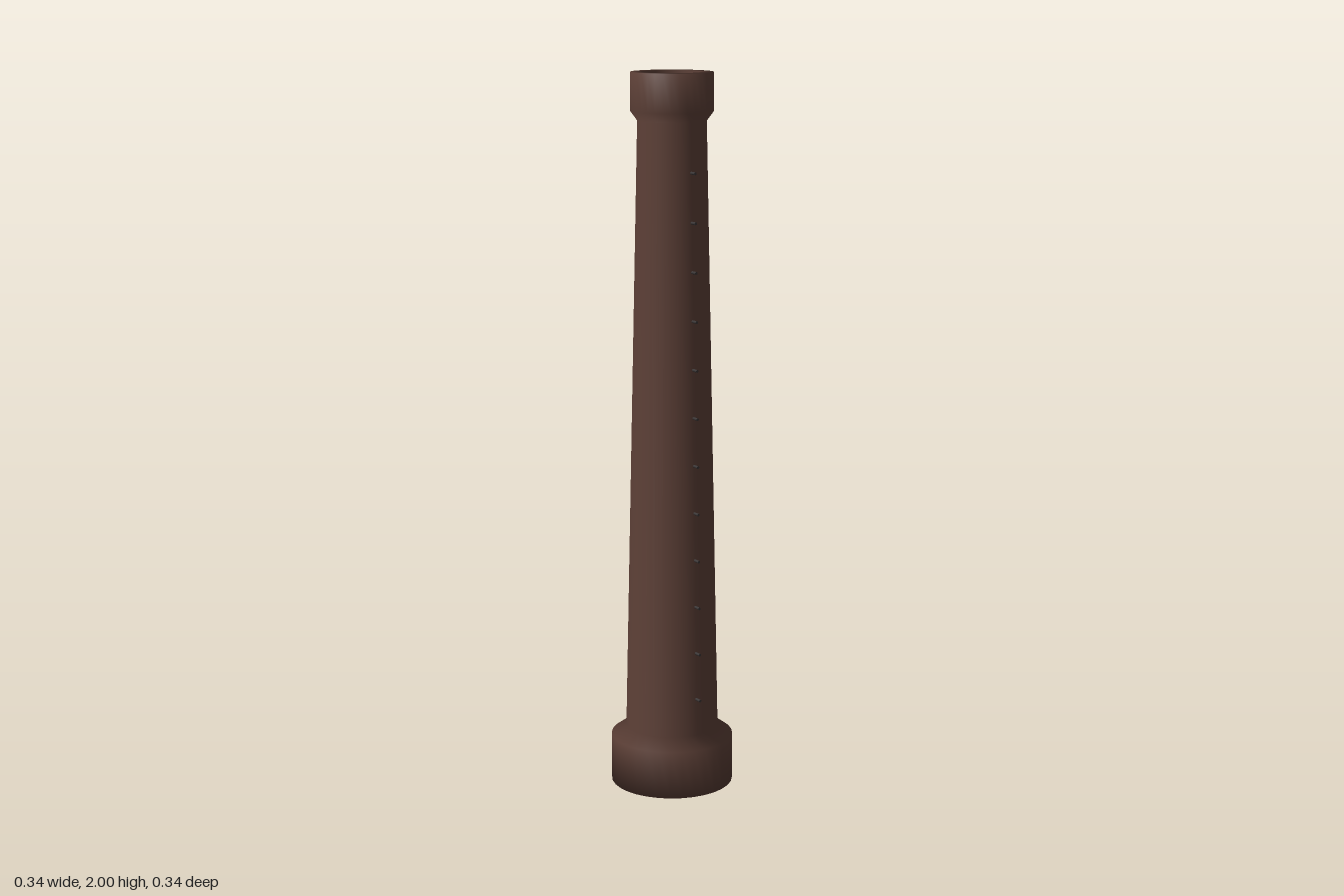
import * as THREE from 'three';

export function createModel() {
  const group = new THREE.Group();
  const brown = new THREE.MeshStandardMaterial({ color: 0x5d4037 });
  brown.name = 'brown';
  const darkGrey = new THREE.MeshStandardMaterial({ color: 0x3a3636 });
  darkGrey.name = 'dark grey';

  // Hollow tapered stack: closed base, shoulder, shaft, flared rim, inner flue
  const footY = 0.165, footR = 0.13, neckY = 1.87, neckR = 0.094;
  const profile = [
    [0, 0], [0.172, 0], [0.172, 0.135], [footR, footY], [neckR, neckY],
    [0.1125, 1.895], [0.1125, 2], [0.08, 2], [0.08, 0.1], [0, 0.1],
  ].map(([r, y]) => new THREE.Vector2(r, y));
  const stack = new THREE.Mesh(new THREE.LatheGeometry(profile, 32), brown);
  stack.name = 'chimneyStack';
  group.add(stack);

  // Row of short rungs passing through the front wall, following the taper
  const rungs = new THREE.Group();
  rungs.name = 'rungs';
  const rungGeometry = new THREE.CylinderGeometry(0.004, 0.004, 0.054, 8).rotateX(Math.PI / 2);
  for (let i = 0; i < 12; i++) {
    const y = 0.27 + i * 0.1333;
    const surface = THREE.MathUtils.mapLinear(y, footY, neckY, footR, neckR);
    const rung = new THREE.Mesh(rungGeometry, darkGrey);
    rung.name = 'rung';
    rung.position.set(0, y, surface - 0.007);
    rungs.add(rung);
  }
  group.add(rungs);

  return group;
}
